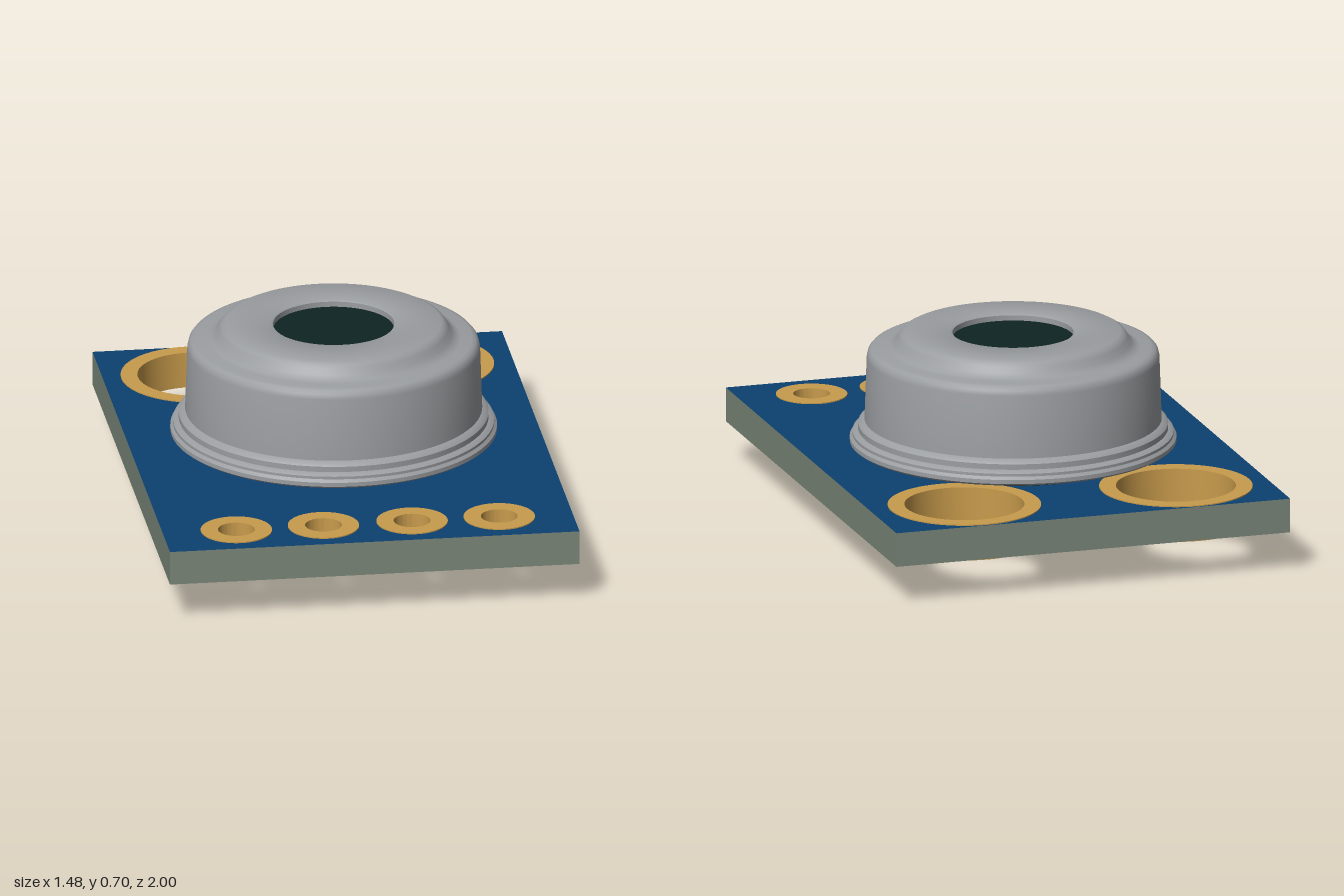
import * as THREE from 'three';
import { toCreasedNormals } from 'three/addons/utils/BufferGeometryUtils.js';

const mat = (name, color) => {
  const m = new THREE.MeshStandardMaterial({ color });
  m.name = name;
  return m;
};

export function createModel() {
  const blue = mat('solder mask blue', 0x0c4070);
  const edge = mat('board edge green grey', 0x7a8678);
  const gold = mat('gold plating', 0xc89b4c);
  const steel = mat('can grey', 0x9b9ea1);
  const dark = mat('dark plastic', 0x0e2424);
  const tin = mat('tin grey', 0xb2b2b4);
  const tan = mat('ceramic tan', 0x8e7546);

  const model = new THREE.Group();
  const BOTTOM = 0.145, TOP = 0.27;

  const add = (parent, name, geo, material, x = 0, y = 0, z = 0) => {
    const mesh = new THREE.Mesh(geo, material);
    mesh.name = name;
    mesh.position.set(x, y, z);
    parent.add(mesh);
    return mesh;
  };
  const lathe = (pts, seg = 64, crease = 0.6) => toCreasedNormals(
    new THREE.LatheGeometry(pts.map(p => new THREE.Vector2(...p)), seg), crease);
  const box = (parent, name, material, w, h, d, x, y, z) =>
    add(parent, name, new THREE.BoxGeometry(w, h, d), material, x, y, z);

  // Holes: x, z, hole radius, pad radius
  const holes = [
    [-0.4, -0.72, 0.215, 0.275], [0.395, -0.72, 0.215, 0.275],
    ...[-0.475, -0.16, 0.16, 0.475].map(x => [x, 0.82, 0.066, 0.128]),
  ];

  // Circuit board with drilled holes
  const outline = new THREE.Shape([[-0.74, -1], [0.74, -1], [0.74, 1], [-0.74, 1]]
    .map(p => new THREE.Vector2(...p)));
  for (const [x, z, r] of holes) {
    outline.holes.push(new THREE.Path().absarc(x, -z, r + 0.008, 0, Math.PI * 2, true));
  }
  const boardGeo = new THREE.ExtrudeGeometry(outline,
    { depth: TOP - BOTTOM, bevelEnabled: false, curveSegments: 48 });
  boardGeo.rotateX(-Math.PI / 2);
  add(model, 'board', boardGeo, [blue, edge], 0, BOTTOM, 0);

  // Plated holes: pad above and below joined by a sleeve
  for (const [x, z, r, R] of holes) {
    const lo = BOTTOM - 0.004, hi = TOP + 0.004, s = r + 0.01;
    add(model, 'platedHole', lathe([
      [r, lo], [R, lo], [R, BOTTOM + 0.001], [s, BOTTOM + 0.001],
      [s, TOP - 0.001], [R, TOP - 0.001], [R, hi], [r, hi], [r, lo],
    ]), gold, x, 0, z);
  }

  // Sensor: dark base, metal can with a stepped top, recessed window
  const sensor = new THREE.Group();
  sensor.name = 'sensor';
  sensor.position.z = -0.06;
  model.add(sensor);
  add(sensor, 'sensorBase', new THREE.CylinderGeometry(0.51, 0.51, 0.025, 64), dark, 0, 0.2845, 0);
  add(sensor, 'sensorCan', lathe([
    [0, 0.292], [0.575, 0.292], [0.585, 0.3], [0.585, 0.315], [0.575, 0.325],
    [0.575, 0.335], [0.565, 0.342], [0.555, 0.345], [0.555, 0.365], [0.545, 0.375],
    [0.532, 0.38], [0.524, 0.61], [0.52, 0.628], [0.51, 0.64], [0.495, 0.645],
    [0.455, 0.645], [0.438, 0.65], [0.422, 0.665], [0.41, 0.685], [0.4, 0.697],
    [0.385, 0.705], [0.225, 0.705], [0.217, 0.7], [0.217, 0.672], [0, 0.672],
  ], 96), steel);
  add(sensor, 'window', new THREE.CylinderGeometry(0.216, 0.216, 0.008, 64), dark, 0, 0.677, 0);

  // Soldered sensor pins under the board
  const pinGeo = lathe([[0, 0.09], [0.028, 0.09], [0.034, 0.115], [0.065, 0.136], [0.065, 0.146]], 24);
  for (const x of [-0.26, 0.26]) for (const z of [-0.26, 0.26]) {
    add(sensor, 'solderedPin', pinGeo, tin, x, 0, z);
  }

  // Two-terminal chips under the board
  const chip = (name, x, y, body) => {
    const g = new THREE.Group();
    g.name = name;
    g.position.set(x, 0, 0.422);
    model.add(g);
    const h = BOTTOM - y - 0.005, cy = y + h / 2;
    box(g, 'chipBody', body, 0.097, h - 0.006, 0.16, 0, cy, 0);
    for (const s of [-1, 1]) {
      box(g, 'chipTerminal', tin, 0.104, h, 0.03, 0, cy, s * 0.09);
      box(g, 'chipPad', tin, 0.126, 0.01, 0.07, 0, BOTTOM - 0.005, s * 0.09);
    }
  };
  chip('capacitor', -0.198, 0.055, tan);
  chip('capacitor', 0.552, 0.055, tan);
  chip('resistor', -0.61, 0.08, dark);
  chip('resistor', -0.413, 0.08, dark);

  // Regulator with three bent leads
  const reg = new THREE.Group();
  reg.name = 'regulator';
  reg.position.set(0.16, 0, 0.445);
  model.add(reg);
  box(reg, 'regulatorBody', dark, 0.174, 0.126, 0.35, 0, 0.063, 0);
  const leadShape = new THREE.Shape([
    [0.08, 0.045], [0.11, 0.05], [0.145, 0.108], [0.165, 0.112], [0.165, 0.136],
    [0.13, 0.132], [0.1, 0.078], [0.08, 0.07],
  ].map(p => new THREE.Vector2(...p)));
  const leadGeo = new THREE.ExtrudeGeometry(leadShape, { depth: 0.07, bevelEnabled: false });
  leadGeo.translate(0, 0, -0.035);
  for (const [side, z] of [[1, 0], [-1, -0.1], [-1, 0.1]]) {
    const lead = add(reg, 'regulatorLead', leadGeo, tin, 0, 0, z);
    if (side < 0) lead.rotation.y = Math.PI;
    box(reg, 'regulatorPad', tin, 0.08, 0.01, 0.1, side * 0.13, BOTTOM - 0.005, z);
  }

  return model;
}
